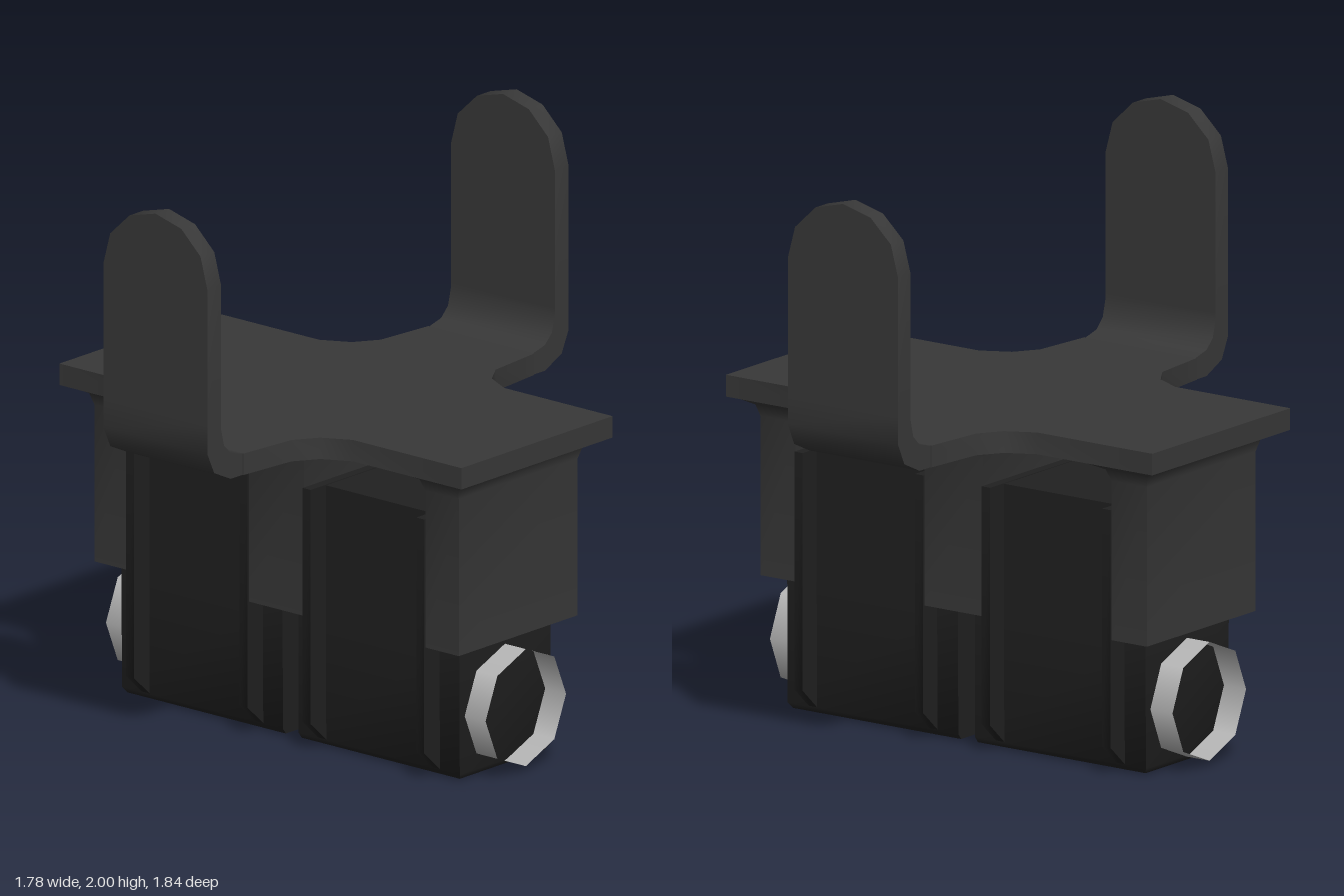
import * as THREE from 'three';
import { toCreasedNormals } from 'three/addons/utils/BufferGeometryUtils.js';

const steel = new THREE.MeshStandardMaterial({ color: 0x383838 });
const rubber = new THREE.MeshStandardMaterial({ color: 0x202020 });
const boltMetal = new THREE.MeshStandardMaterial({ color: 0xb8b8b8, side: THREE.DoubleSide });

function add(parent, name, geometry, material) {
  const mesh = new THREE.Mesh(toCreasedNormals(geometry, 0.9), material);
  mesh.name = name;
  parent.add(mesh);
}

const shapeOf = (points) => new THREE.Shape(points.map(([x, y]) => new THREE.Vector2(x, y)));
const extrude = (points, depth) =>
  new THREE.ExtrudeGeometry(shapeOf(points), { depth, bevelEnabled: false });

// Extrude a (z, y) profile sideways from x0 to x1
const extrudeAcross = (points, x0, x1) =>
  extrude(points, x1 - x0).rotateY(-Math.PI / 2).translate(x1, 0, 0);

// Skin a row of convex cross-sections, bottom to top, and close both ends
function loft(rings) {
  const pos = [];
  const n = rings[0].length;
  const tri = (a, b, c) => pos.push(...a, ...b, ...c);
  for (let i = 0; i + 1 < rings.length; i++) {
    for (let j = 0; j < n; j++) {
      const k = (j + 1) % n;
      tri(rings[i][j], rings[i][k], rings[i + 1][k]);
      tri(rings[i][j], rings[i + 1][k], rings[i + 1][j]);
    }
  }
  const first = rings[0], last = rings[rings.length - 1];
  for (let j = 1; j + 1 < n; j++) {
    tri(first[0], first[j + 1], first[j]);
    tri(last[0], last[j], last[j + 1]);
  }
  const geometry = new THREE.BufferGeometry();
  geometry.setAttribute('position', new THREE.Float32BufferAttribute(pos, 3));
  return geometry;
}

// Horizontal rectangle, a cross-section for legs and pads
const rect = (y, x0, x1, z) => [[x0, y, z], [x1, y, z], [x1, y, -z], [x0, y, -z]];

export function createModel() {
  const model = new THREE.Group();
  model.name = 'bracketAssembly';

  // Cross-shaped plate: one quarter outline, mirrored
  const quarter = [[0.89, 0.385], [0.41, 0.385], [0.31, 0.437], [0.255, 0.52], [0.234, 0.74]];
  const half = [...quarter, ...quarter.map(([x, z]) => [-x, z]).reverse()];
  const outline = [...half, ...half.map(([x, z]) => [-x, -z])];
  const plate = extrude(outline, 0.075).rotateX(-Math.PI / 2).translate(0, 1.09, 0);
  add(model, 'crossPlate', plate, steel);

  // Upturned arms, front and back
  const bendProfile = [
    [0.74, 1.09], [0.8, 1.09], [0.885, 1.13], [0.92, 1.205], [0.92, 1.3],
    [0.85, 1.3], [0.85, 1.275], [0.835, 1.215], [0.8, 1.18], [0.74, 1.165],
  ];
  const tabOutline = [
    [-0.23, 1.3], [0.23, 1.3], [0.23, 1.78], [0.2, 1.89], [0.115, 1.97],
    [0, 2], [-0.115, 1.97], [-0.2, 1.89], [-0.23, 1.78],
  ];
  for (const [name, turn] of [['frontArm', 0], ['backArm', Math.PI]]) {
    const arm = new THREE.Group();
    arm.name = name;
    arm.rotation.y = turn;
    add(arm, 'armBend', extrudeAcross(bendProfile, -0.23, 0.23), steel);
    add(arm, 'armTab', extrude(tabOutline, 0.07).translate(0, 0, 0.85), steel);
    model.add(arm);
  }

  // Centre leg, flaring into the plate
  add(model, 'centreLeg', loft([
    rect(0.47, -0.122, 0.122, 0.303), rect(1.02, -0.122, 0.122, 0.303),
    rect(1.06, -0.14, 0.14, 0.317), rect(1.09, -0.2, 0.2, 0.375),
  ]), steel);

  // Thin flange with its lower corners cut off, as a (z, y) profile
  const flange = [
    [-0.2, 0], [0.2, 0], [0.31, 0.1], [0.31, 0.92], [-0.31, 0.92], [-0.31, 0.1],
  ];

  // Each side: outer leg, pad between the legs, and bolt ring
  for (const [name, turn] of [['leftSide', 0], ['rightSide', Math.PI]]) {
    const side = new THREE.Group();
    side.name = name;
    side.rotation.y = turn;

    add(side, 'outerLeg', loft([
      rect(0.47, 0.66, 0.807, 0.303), rect(1.02, 0.66, 0.807, 0.303),
      rect(1.06, 0.645, 0.817, 0.317), rect(1.09, 0.58, 0.86, 0.375),
    ]), steel);

    // Recessed pad body, with wider shoulders below the legs
    add(side, 'padBody', loft([
      rect(0.46, 0.13, 0.65, 0.232), rect(0.918, 0.13, 0.65, 0.232),
    ]), rubber);
    add(side, 'padBase', loft([
      rect(0.005, 0.035, 0.735, 0.215), rect(0.025, 0.035, 0.748, 0.23),
      rect(0.47, 0.035, 0.748, 0.232),
    ]), rubber);
    // Flanges standing proud beside each leg
    for (const x of [0.122, 0.625]) {
      add(side, 'padFlange', extrudeAcross(flange, x, x + 0.035), rubber);
    }

    // Open eight-sided ring
    const ring = new THREE.CylinderGeometry(0.205, 0.205, 0.095, 8, 1, true);
    ring.rotateZ(Math.PI / 2).translate(0.793, 0.225, 0);
    const bolt = new THREE.Mesh(ring, boltMetal);
    bolt.name = 'boltRing';
    side.add(bolt);
    model.add(side);
  }
  return model;
}
